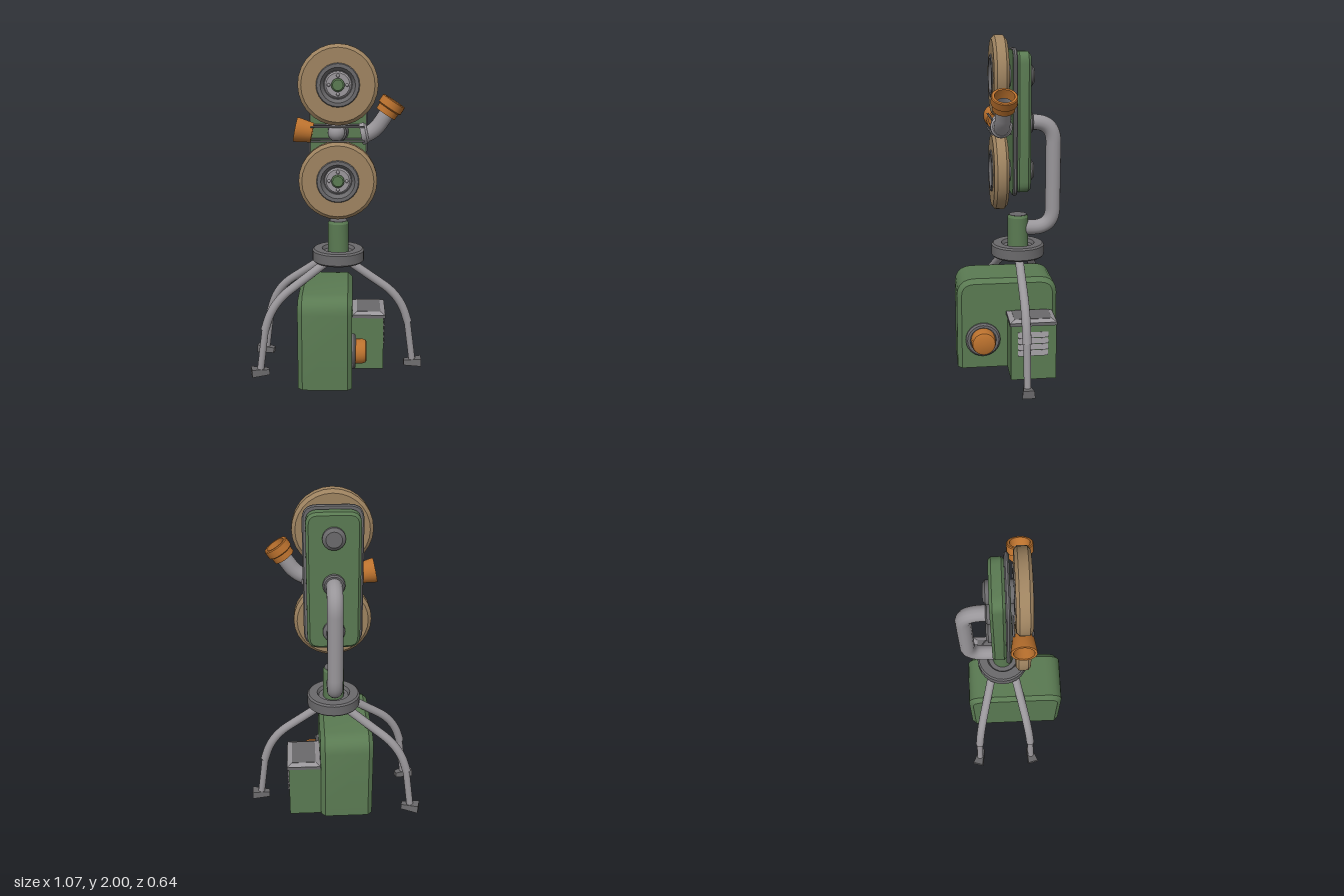
import * as THREE from 'three';
import { toCreasedNormals } from 'three/addons/utils/BufferGeometryUtils.js';

const mat = (name, color, side = THREE.FrontSide) => {
  const m = new THREE.MeshStandardMaterial({ color, side });
  m.name = name;
  return m;
};
const V = (x, y, z) => new THREE.Vector3(x, y, z);
const CX = 0.007, CZ = -0.058; // mast axis

// Lathe from [radius, height] pairs, smooth around and sharp at corners
const lathe = (pts, sides = 24) =>
  toCreasedNormals(new THREE.LatheGeometry(pts.map(p => new THREE.Vector2(...p)), sides), 0.5);

// Straight runs joined by rounded bends
function bentPath(pts, r) {
  const path = new THREE.CurvePath();
  let last = pts[0];
  for (let i = 1; i < pts.length - 1; i++) {
    const p = pts[i];
    const a = p.clone().add(pts[i - 1].clone().sub(p).setLength(r));
    const b = p.clone().add(pts[i + 1].clone().sub(p).setLength(r));
    path.add(new THREE.LineCurve3(last, a));
    path.add(new THREE.QuadraticBezierCurve3(a, p, b));
    last = b;
  }
  path.add(new THREE.LineCurve3(last, pts[pts.length - 1]));
  return path;
}
const tube = (pts, r, bend, segs = 32) => new THREE.TubeGeometry(bentPath(pts, bend), segs, r, 14);

function roundRect(w, h, r) {
  const s = new THREE.Shape(), x = w / 2, y = h / 2;
  s.moveTo(-x + r, -y);
  s.lineTo(x - r, -y).quadraticCurveTo(x, -y, x, -y + r);
  s.lineTo(x, y - r).quadraticCurveTo(x, y, x - r, y);
  s.lineTo(-x + r, y).quadraticCurveTo(-x, y, -x, y - r);
  s.lineTo(-x, -y + r).quadraticCurveTo(-x, -y, -x + r, -y);
  return s;
}
// Slab from z = 0 to z = depth whose bevel stays inside the outline
function slab(shape, depth, bevel) {
  const g = new THREE.ExtrudeGeometry(shape, {
    depth: depth - 2 * bevel, bevelEnabled: bevel > 0, bevelThickness: bevel,
    bevelSize: bevel, bevelOffset: -bevel, bevelSegments: 1, curveSegments: 5,
  });
  return toCreasedNormals(g.translate(0, 0, bevel), 0.5);
}

export function createModel() {
  const green = mat('green paint', 0x5a7a52, THREE.DoubleSide);
  const tan = mat('tan tyre', 0x9e8360);
  const orange = mat('orange', 0xbc722e, THREE.DoubleSide);
  const light = mat('light metal', 0x99969a, THREE.DoubleSide);
  const dark = mat('dark metal', 0x6a696b);
  const root = new THREE.Group();
  root.name = 'machine';
  const add = (name, geo, m, x = 0, y = 0, z = 0, parent = root) => {
    const mesh = new THREE.Mesh(geo, m);
    mesh.name = name;
    mesh.position.set(x, y, z);
    parent.add(mesh);
    return mesh;
  };

  // Main housing: bevelled slab, rounded at the top, open underneath
  const s = new THREE.Shape();
  s.moveTo(-0.32, 0);
  s.lineTo(0.29, 0).lineTo(0.29, 0.465).quadraticCurveTo(0.285, 0.56, 0.19, 0.565);
  s.lineTo(-0.22, 0.565).quadraticCurveTo(-0.315, 0.56, -0.32, 0.465);
  const shell = slab(s, 0.32, 0.027).rotateY(Math.PI / 2).translate(-0.225, 0, 0);
  const p = shell.attributes.position, kept = [];
  for (let i = 0; i < p.count; i += 3) {
    const tri = [0, 1, 2].map(k => [p.getX(i + k), p.getY(i + k) < 0.03 ? 0 : p.getY(i + k), p.getZ(i + k)]);
    if (tri.some(v => v[1] > 0)) kept.push(...tri.flat());
  }
  const housing = new THREE.BufferGeometry();
  housing.setAttribute('position', new THREE.Float32BufferAttribute(kept, 3));
  add('housing', toCreasedNormals(housing, 0.5), green);

  // Side box with lid and louvres
  add('sideBox', new THREE.BoxGeometry(0.205, 0.345, 0.27), green, 0.188, 0.1725, -0.12);
  add('lid', new THREE.BoxGeometry(0.205, 0.02, 0.28), dark, 0.198, 0.35, -0.117);
  const lidTop = new THREE.BoxGeometry(0.205, 0.015, 0.28);
  const lp = lidTop.attributes.position;
  for (let i = 0; i < lp.count; i++) {
    if (lp.getY(i) > 0) lp.setXYZ(i, lp.getX(i) * 0.72, lp.getY(i), lp.getZ(i) * 0.8);
  }
  lidTop.computeVertexNormals();
  add('lidBevel', lidTop, light, 0.198, 0.3655, -0.117);
  add('lidPanel', new THREE.BoxGeometry(0.146, 0.004, 0.222), dark, 0.198, 0.373, -0.117);
  for (let i = 0; i < 4; i++) {
    add('louvre', new THREE.BoxGeometry(0.012, 0.033, 0.18), light, 0.291, 0.168 + i * 0.038, -0.115)
      .rotation.z = 0.25;
  }

  // Side lamp
  add('lampRing', lathe([[0, 0], [0.106, 0], [0.106, 0.014], [0.096, 0.024], [0.08, 0.024], [0.078, 0.012], [0, 0.012]])
    .rotateZ(-Math.PI / 2), dark, 0.093, 0.185, 0.165);
  add('lamp', lathe([[0.074, 0], [0.074, 0.06], [0.068, 0.078], [0.055, 0.085], [0, 0.085]])
    .rotateZ(-Math.PI / 2), orange, 0.098, 0.185, 0.165);

  // Hub disc and post
  add('hubDisc', lathe([[0, 0.69], [0.15, 0.69], [0.16, 0.7], [0.16, 0.76], [0.15, 0.77], [0.1, 0.77],
    [0.09, 0.75], [0, 0.75]]), dark, CX, 0, CZ);
  add('post', lathe([[0.063, 0.74], [0.063, 0.93], [0.055, 0.944], [0, 0.944]]), green, CX, 0, CZ);
  add('postCap', lathe([[0.054, 0.94], [0.054, 0.947], [0, 0.947]]), dark, CX, 0, CZ);

  // Three legs, each built outward along +x and turned to its bearing
  const legs = [[0.05, CZ, 0.482, CZ], [-0.06, 0.007, -0.475, 0.115], [-0.06, -0.123, -0.475, -0.243]];
  for (const [x0, z0, x1, z1] of legs) {
    const leg = new THREE.Group(), L = Math.hypot(x1 - x0, z1 - z0);
    leg.name = 'leg';
    leg.position.set(x0, 0, z0);
    leg.rotation.y = Math.atan2(-(z1 - z0), x1 - x0);
    root.add(leg);
    add('upperLeg', tube([V(0, 0.7, 0), V(L - 0.09, 0.46, 0), V(L - 0.038, 0.29, 0)], 0.026, 0.13), light, 0, 0, 0, leg);
    add('lowerLeg', tube([V(L - 0.042, 0.305, 0), V(L - 0.005, 0.03, 0)], 0.021, 0, 2), light, 0, 0, 0, leg);
    const foot = new THREE.BoxGeometry(0.11, 0.047, 0.076).translate(0, 0.0235, 0);
    const fp = foot.attributes.position;
    for (let i = 0; i < fp.count; i++) {
      const inner = fp.getX(i) < 0, top = fp.getY(i) > 0.01;
      fp.setXYZ(i, fp.getX(i), top && inner ? 0.033 : fp.getY(i), fp.getZ(i) * (inner ? 0.5 : 1) * (top ? 0.85 : 1));
    }
    foot.computeVertexNormals();
    add('foot', foot, dark, L - 0.004, 0, 0, leg);
  }

  // Supporting pipe from the post to the back plate
  add('supportPipe', tube([V(CX, 0.862, -0.07), V(CX, 0.862, -0.27), V(CX, 1.5, -0.27), V(CX, 1.5, -0.1)],
    0.046, 0.12, 60), light);
  add('pipeCollar', lathe([[0, 0], [0.063, 0], [0.063, 0.025], [0.055, 0.033], [0, 0.033]])
    .rotateX(-Math.PI / 2), dark, CX, 1.5, -0.11);

  // Back plate: green block, metal rim and green front face
  add('backBlock', slab(roundRect(0.306, 0.81, 0.07), 0.082, 0.015), green, CX, 1.505, -0.116);
  add('rimPlate', slab(roundRect(0.344, 0.85, 0.085), 0.025, 0.007), dark, CX, 1.505, -0.036);
  add('frontFace', slab(roundRect(0.326, 0.83, 0.078), 0.003, 0), green, CX, 1.505, -0.0115);

  // Two wheels with recessed hubs, axles and rear studs
  for (const y of [1.77, 1.215]) {
    const wheel = new THREE.Group();
    wheel.name = 'wheel';
    wheel.position.set(CX, y, 0.058);
    root.add(wheel);
    add('tyre', lathe([[0.1, -0.043], [0.21, -0.043], [0.23, -0.026], [0.23, 0.026], [0.21, 0.043], [0.1, 0.043]], 28)
      .rotateX(Math.PI / 2), tan, 0, 0, 0, wheel);
    add('hub', lathe([[0, -0.048], [0.12, -0.048], [0.125, -0.042], [0.125, 0.044], [0.12, 0.05], [0.1, 0.05],
      [0.082, 0.015], [0, 0.015]]).rotateX(Math.PI / 2), dark, 0, 0, 0, wheel);
    add('hubFace', lathe([[0.078, 0], [0.068, 0.01], [0, 0.01]]).rotateX(Math.PI / 2), light, 0, 0, 0.014, wheel);
    add('hubCap', lathe([[0.038, 0], [0.038, 0.012], [0.03, 0.018], [0, 0.018]])
      .rotateX(Math.PI / 2), green, 0, 0, 0.022, wheel);
    for (let i = 0; i < 4; i++) {
      const a = i * Math.PI / 2;
      add('bolt', new THREE.SphereGeometry(0.01, 8, 6), light, 0.052 * Math.cos(a), 0.052 * Math.sin(a), 0.025, wheel);
    }
    add('axle', new THREE.CylinderGeometry(0.064, 0.064, 0.05, 20).rotateX(Math.PI / 2), dark, 0, 0, -0.058, wheel);
    add('rearStud', lathe([[0.064, 0], [0.064, 0.022], [0.045, 0.036], [0, 0.036]])
      .rotateX(-Math.PI / 2), dark, 0, 0, -0.171, wheel);
  }

  // Carrier between the wheels: central boss and four thin rods
  add('boss', new THREE.CylinderGeometry(0.05, 0.062, 0.06, 20).rotateX(Math.PI / 2), dark, CX, 1.495, 0.018);
  add('bossDome', new THREE.SphereGeometry(0.05, 18, 12), light, -0.003, 1.495, 0.052);
  for (const sy of [-1, 1]) for (const sz of [-1, 1]) {
    add('rod', new THREE.CylinderGeometry(0.006, 0.006, 0.31, 8).rotateZ(Math.PI / 2), dark,
      0.005, 1.493 + sy * 0.042, 0.056 + sz * 0.052);
  }

  // Flared cup on one side
  const cup = add('sideCup', lathe([[0.045, 0], [0.058, 0], [0.062, 0.03], [0.071, 0.085], [0.071, 0.1],
    [0.057, 0.1], [0.045, 0.01], [0, 0.01]]), orange, -0.142, 1.495, 0.056);
  cup.rotation.z = Math.PI / 2 - 0.2;

  // Bent spout with flange and cup on the other side
  add('spout', tube([V(0.15, 1.48, 0.056), V(0.215, 1.5, 0.056), V(0.31, 1.64, 0.056)], 0.045, 0.06), light);
  const flange = add('spoutFlange', lathe([[0.04, 0], [0.063, 0], [0.063, 0.028], [0.052, 0.04], [0.04, 0.04]]),
    light, 0.14, 1.488, 0.056);
  flange.rotation.z = -Math.PI / 2 + 0.2;
  const spoutCup = add('spoutCup', lathe([[0.044, 0], [0.063, 0], [0.064, 0.035], [0.074, 0.042], [0.074, 0.085],
    [0.069, 0.09], [0.056, 0.09], [0.052, 0.03], [0.044, 0]]), orange, 0.281, 1.605, 0.056);
  spoutCup.rotation.z = -0.58;

  return root;
}
